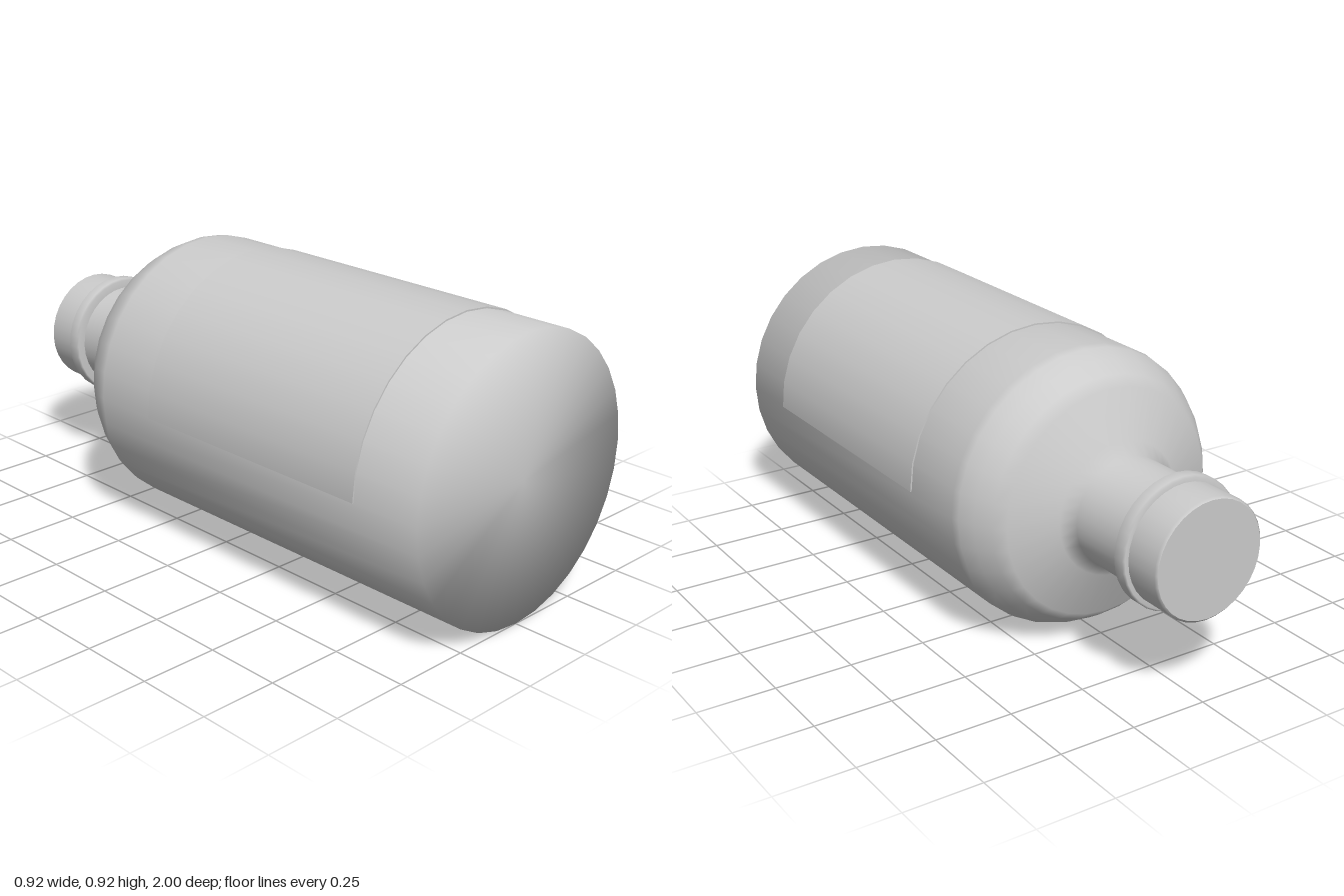
import * as THREE from 'three';

const SEGMENTS = 32;
const RADIUS = 0.455;

// Turns a profile of [radius, distance along the axis] into a smooth round part.
// A repeated point makes a sharp edge.
function turned(name, profile, material, phiStart = 0, phiLength = Math.PI * 2, segments = SEGMENTS) {
  const points = profile.map(([r, y]) => new THREE.Vector2(r, y));
  const mesh = new THREE.Mesh(new THREE.LatheGeometry(points, segments, phiStart, phiLength), material);
  mesh.name = name;
  return mesh;
}

export function createModel() {
  const material = new THREE.MeshStandardMaterial({ color: 0xcccccc });
  const thin = new THREE.MeshStandardMaterial({ color: 0xcccccc, side: THREE.DoubleSide });

  const bottle = new THREE.Group();
  bottle.name = 'bottle';

  // Base, straight wall, rounded shoulder and neck
  bottle.add(turned('body', [
    [0, -1], [RADIUS, -1],
    [RADIUS, 0.36], [0.45, 0.39], [0.427, 0.44], [0.395, 0.49], [0.365, 0.523],
    [0.215, 0.575], [0.177, 0.608], [0.177, 0.84],
  ], material));

  // Collar ring under the stopper
  bottle.add(turned('collar', [
    [0.17, 0.828], [0.203, 0.828], [0.209, 0.834],
    [0.209, 0.87], [0.203, 0.876], [0.18, 0.876],
  ], material));

  // Stopper with a slightly bevelled rim and flat end
  bottle.add(turned('stopper', [
    [0.191, 0.87], [0.191, 0.993], [0.184, 1], [0.184, 1], [0, 1],
  ], material));

  // Label wrapped over the upper half of the wall
  const outer = RADIUS + 0.005;
  bottle.add(turned('label', [
    [RADIUS, -0.765], [outer, -0.765], [outer, -0.765],
    [outer, 0.125], [outer, 0.125], [RADIUS, 0.125],
  ], thin, -Math.PI / 2, Math.PI, SEGMENTS / 2));

  // Lay the bottle down, base forward
  bottle.rotation.x = -Math.PI / 2;
  bottle.position.y = RADIUS;

  const model = new THREE.Group();
  model.name = 'lyingBottle';
  model.add(bottle);
  return model;
}
